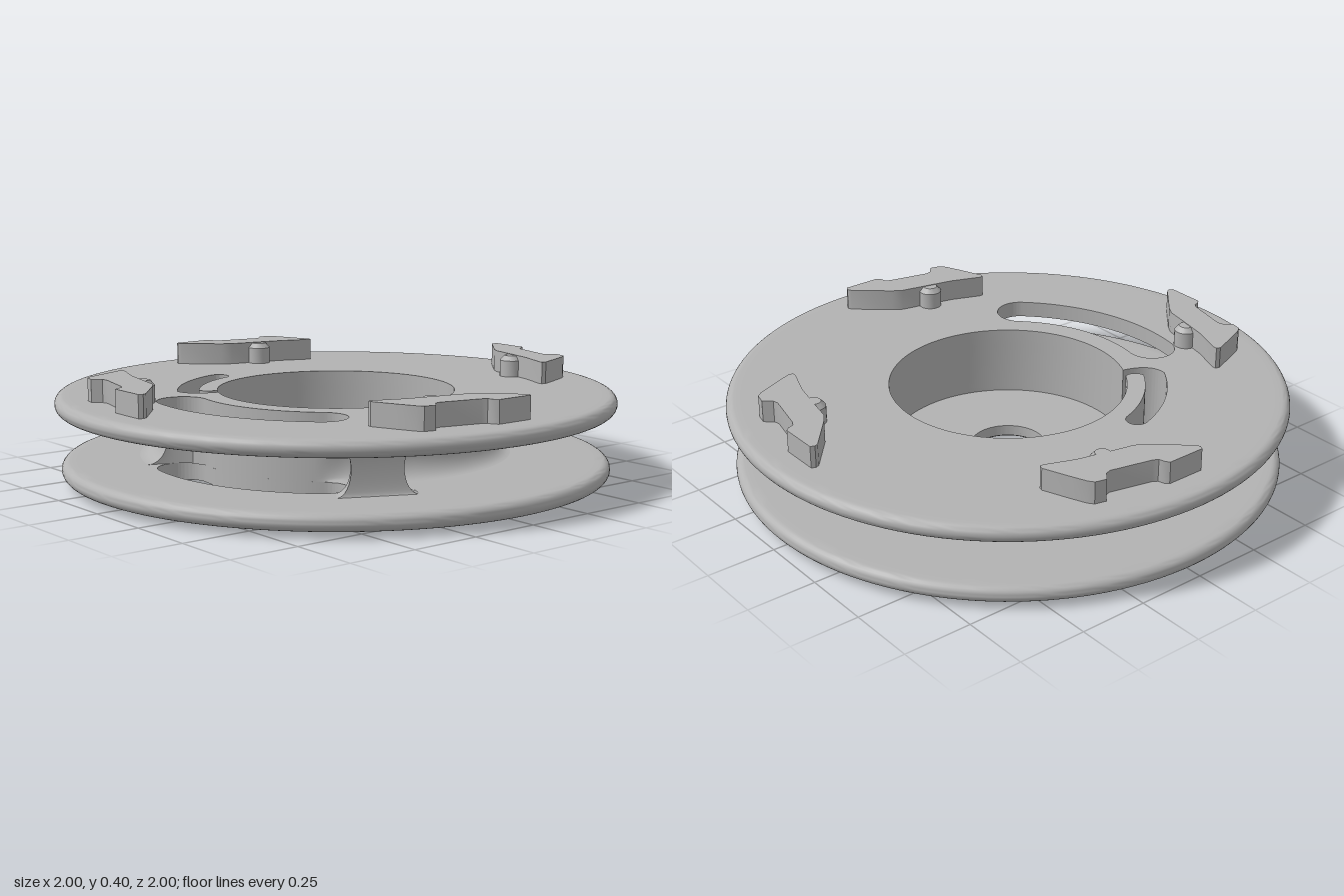
import * as THREE from 'three';
import { toCreasedNormals } from 'three/addons/utils/BufferGeometryUtils.js';

const rad = THREE.MathUtils.degToRad;
const gray = new THREE.MeshStandardMaterial({ color: 0xb2b2b2 });
gray.name = 'grey plastic';

function add(parent, name, geometry, crease = 0.6) {
  const mesh = new THREE.Mesh(toCreasedNormals(geometry, crease), gray);
  mesh.name = name;
  parent.add(mesh);
  return mesh;
}

// Extrude a plan shape (x, z) between two heights
function slab(shape, y0, y1) {
  return new THREE.ExtrudeGeometry(shape, { depth: y1 - y0, bevelEnabled: false, curveSegments: 64 })
    .rotateX(Math.PI / 2).translate(0, y1, 0);
}

// Closed wall through equal-length rows of points
function loft(rows) {
  const n = rows[0].length, index = [];
  for (let j = 0; j < rows.length - 1; j++) {
    for (let i = 0; i < n; i++) {
      const k = (i + 1) % n, a = j * n + i, b = j * n + k;
      index.push(a, b, b + n, a, b + n, a + n);
    }
  }
  const g = new THREE.BufferGeometry().setFromPoints(rows.flat());
  g.setIndex(index);
  return g;
}

function disc(r) {
  return new THREE.Shape().absarc(0, 0, r, 0, Math.PI * 2, false);
}

// Curved through-slot
function slotPath() {
  const a = rad(43.2), b = rad(101.5), m = 0.595, w = 0.088;
  const p = new THREE.Path();
  p.absarc(0, 0, m + w, a, b, false);
  p.absarc(m * Math.cos(b), m * Math.sin(b), w, b, b + Math.PI, false);
  p.absarc(0, 0, m - w, b, a, true);
  p.absarc(m * Math.cos(a), m * Math.sin(a), w, a + Math.PI, a + Math.PI * 2, false);
  return p;
}

// Round recess joined to a hooked side groove
function recessPath() {
  const e = rad(162), m = 0.5285, w = 0.0385;
  const p = new THREE.Path();
  p.absarc(0, 0, 0.425, rad(123), rad(477), false);
  p.quadraticCurveTo(-0.22, 0.49, (m + w) * Math.cos(rad(122)), (m + w) * Math.sin(rad(122)));
  p.absarc(0, 0, m + w, rad(122), e, false);
  p.absarc(m * Math.cos(e), m * Math.sin(e), w, e, e + Math.PI, false);
  p.absarc(0, 0, m - w, e, rad(123), true);
  p.quadraticCurveTo(-0.225, 0.4, 0.425 * Math.cos(rad(123)), 0.425 * Math.sin(rad(123)));
  return p;
}

// Rounded flange edge
function rim(r, y0, y1) {
  const h = (y1 - y0) / 2, pts = [new THREE.Vector2(r - 0.06, y0)];
  for (let i = 0; i <= 12; i++) {
    const t = -Math.PI / 2 + Math.PI * i / 12;
    pts.push(new THREE.Vector2(r - h + h * Math.cos(t), y0 + h + h * Math.sin(t)));
  }
  pts.push(new THREE.Vector2(r - 0.06, y1));
  return new THREE.LatheGeometry(pts, 128);
}

// Rows of the concave groove: fn(k) gives the ring, k = 0 at the waist, 1 at the flanges
function grooveRows(fn) {
  const rows = [];
  for (let j = 0; j <= 16; j++) {
    const t = -Math.PI / 2 + Math.PI * j / 16;
    const y = 0.1675 + 0.0875 * Math.sin(t);
    rows.push(fn(1 - Math.cos(t)).map(([x, z]) => new THREE.Vector3(x, y, z)));
  }
  return rows;
}

export function createModel() {
  const model = new THREE.Group();
  model.name = 'cordPulley';

  // Flanges
  const top = disc(0.94);
  top.holes.push(slotPath(), recessPath());
  add(model, 'topFlange', slab(top, 0.255, 0.315));
  add(model, 'topRim', rim(1, 0.255, 0.315));
  const upper = disc(0.92);
  upper.holes.push(slotPath(), recessPath());
  add(model, 'bottomFlangeUpper', slab(upper, 0.06, 0.08));
  const lower = disc(0.92);
  lower.holes.push(slotPath(), new THREE.Path().absarc(0, 0, 0.135, 0, Math.PI * 2, false));
  add(model, 'bottomFlangeLower', slab(lower, 0.02, 0.06));
  add(model, 'bottomRim', rim(0.98, 0.02, 0.08));

  // Spiral core: [degrees from the front, waist radius, flare]
  const plan = [
    [-20, 0.595, 0], [-17.5, 0.537, 0], [-11.5, 0.507, 0], [46, 0.507, 0], [55, 0.49, 0.04],
    [80, 0.488, 0.07], [110, 0.515, 0.07], [145, 0.565, 0.07], [180, 0.595, 0.07],
    [225, 0.625, 0.08], [270, 0.643, 0.085], [310, 0.637, 0.08], [340, 0.622, 0.07],
  ];
  const ring = [];
  plan.forEach(([a, r, f], i) => {
    const next = plan[i + 1];
    const n = next ? Math.ceil((next[0] - a) / 3) : 1;
    for (let s = 0; s < n; s++) {
      const t = s / n;
      ring.push(next ? [a + (next[0] - a) * t, r + (next[1] - r) * t, f + (next[2] - f) * t] : [a, r, f]);
    }
  });
  add(model, 'spiralCore', loft(grooveRows(k => ring.map(([a, r, f]) => {
    const q = r + f * k;
    return [q * Math.sin(rad(a)), q * Math.cos(rad(a))];
  }))));

  // Cord post beside the slot
  const post = [[0.6, 0.42], [0.675, 0.26], [0.64, 0.24], [0.56, 0.39]];
  add(model, 'cordPost', loft(grooveRows(k => post.map(([x, z]) => {
    const dx = x - 0.62, dz = z - 0.33, d = Math.hypot(dx, dz);
    return [x + dx / d * 0.05 * k, z + dz / d * 0.05 * k];
  }))));

  // Recess wall inside the core
  const inner = recessPath().getPoints(64);
  add(model, 'recessWall', loft([0.08, 0.255].map(y => inner.map(p => new THREE.Vector3(p.x, y, p.y)))));

  // Bearing ring under the hub
  const boss = [[0.135, 0.03], [0.145, 0.013], [0.165, 0.008], [0.245, 0.008], [0.25, 0], [0.285, 0], [0.3, 0.02]];
  add(model, 'hubRing', new THREE.LatheGeometry(boss.map(p => new THREE.Vector2(...p)), 96), 0.4);

  // Four drive lugs, each with a small pin
  const lugShape = new THREE.Shape([
    [-0.09, -0.89], [0.05, -0.89], [0.062, -0.877], [0.068, -0.855], [0.085, -0.845], [0.235, -0.81],
    [0.255, -0.815], [0.28, -0.845], [0.32, -0.835], [0.335, -0.815], [0.36, -0.755], [0.395, -0.665],
    [0.39, -0.65], [0.375, -0.65], [0.27, -0.69], [0.15, -0.717], [0.065, -0.735], [0.03, -0.757], [-0.09, -0.86],
    [-0.097, -0.875],
  ].map(p => new THREE.Vector2(...p)));
  const pin = [[0.042, 0.31], [0.042, 0.375], [0.026, 0.393], [0, 0.393]].map(p => new THREE.Vector2(...p));
  for (let i = 0; i < 4; i++) {
    const lug = new THREE.Group();
    lug.name = 'driveLug';
    add(lug, 'lugBlock', slab(lugShape, 0.31, 0.395));
    add(lug, 'lugPin', new THREE.LatheGeometry(pin, 24)).position.set(0.175, 0, -0.705);
    lug.rotation.y = i * Math.PI / 2;
    model.add(lug);
  }
  return model;
}
